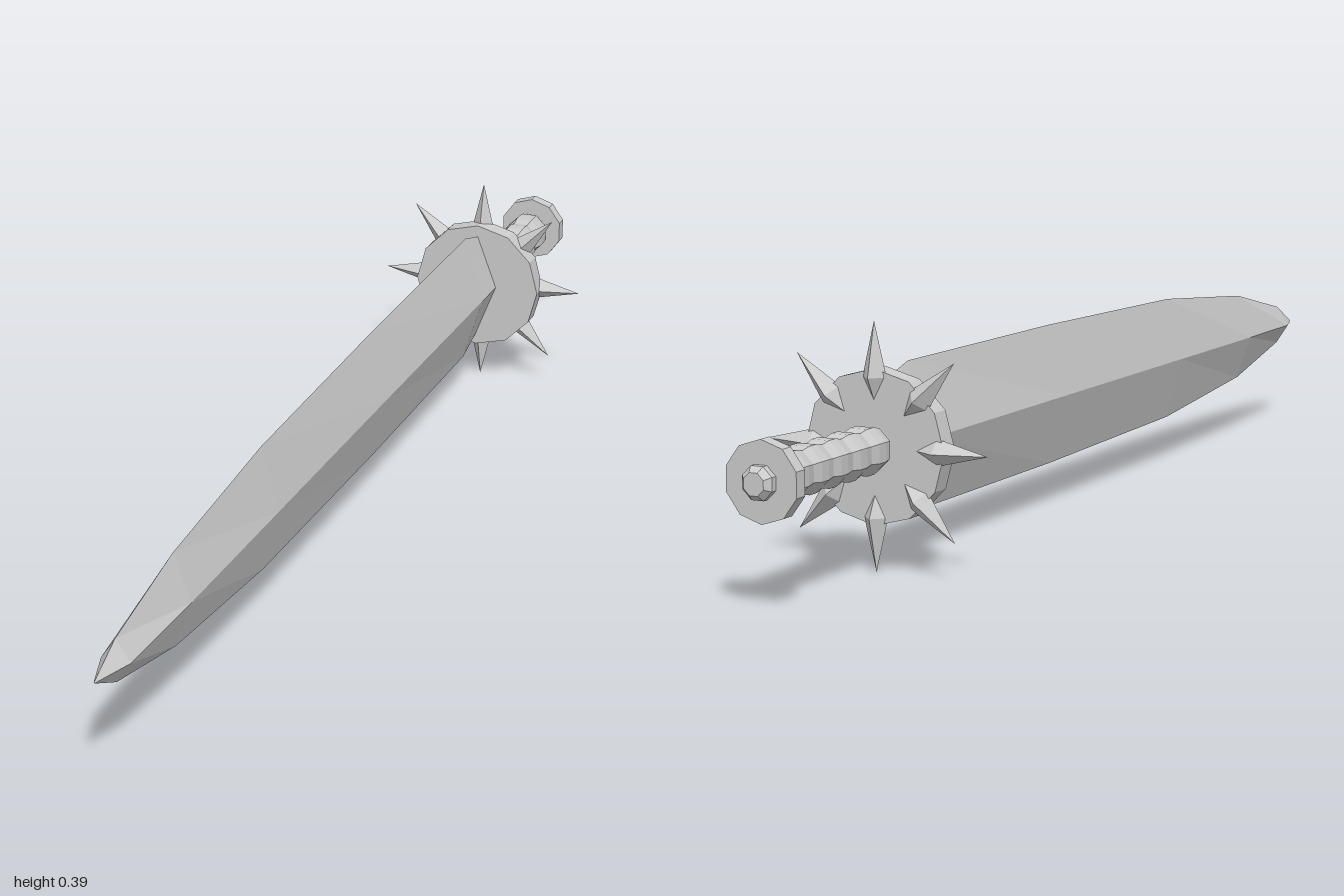
import * as THREE from 'three';

const AXIS_Y = 0.196; // height of the sword's long axis

export function createModel() {
  const sword = new THREE.Group();
  sword.name = 'spikedSword';
  const steel = new THREE.MeshStandardMaterial({ color: 0xcccccc });
  steel.name = 'steel';
  steel.flatShading = true;

  const add = (name, geometry) => {
    const mesh = new THREE.Mesh(geometry, steel);
    mesh.name = name;
    mesh.position.y = AXIS_Y;
    sword.add(mesh);
    return mesh;
  };

  // Faceted turned part along z; profile is [radius, z] from back to front
  const turned = (profile, sides, phase = 0) =>
    new THREE.LatheGeometry(profile.map(([r, z]) => new THREE.Vector2(r, z)), sides, phase)
      .rotateX(Math.PI / 2);

  // Blade: diamond sections [z, half height, half width] from tip to guard
  const sections = [
    [1, 0.001, 0.001], [0.93, 0.036, 0.024], [0.73, 0.08, 0.028], [0.4, 0.11, 0.03],
    [-0.08, 0.119, 0.033], [-0.56, 0.12, 0.037], [-0.635, 0.098, 0.038],
  ];
  const rings = sections.map(([z, h, w]) => [[w, 0, z], [0, h, z], [-w, 0, z], [0, -h, z]]);
  const corners = [];
  for (let i = 0; i < rings.length - 1; i++) {
    for (let k = 0; k < 4; k++) {
      const n = (k + 1) % 4;
      const a = rings[i][k], b = rings[i][n], c = rings[i + 1][k], d = rings[i + 1][n];
      corners.push(...a, ...c, ...b, ...b, ...c, ...d);
    }
  }
  const blade = new THREE.BufferGeometry();
  blade.setAttribute('position', new THREE.Float32BufferAttribute(corners, 3));
  blade.computeVertexNormals();
  add('blade', blade);

  // Round guard plate
  add('guard', turned([[0, -0.664], [0.121, -0.664], [0.121, -0.63], [0, -0.63]], 12));

  // Eight double-pointed spikes around the guard
  const spike = new THREE.LatheGeometry(
    [[0, 0.068], [0.021, 0.108], [0, 0.194]].map(([r, y]) => new THREE.Vector2(r, y)), 4);
  for (let i = 0; i < 8; i++) {
    const mesh = add('guardSpike', spike);
    mesh.position.z = -0.661;
    mesh.rotation.z = (i * Math.PI) / 4;
  }

  // Ridged eight-sided grip with a narrow neck at each end
  const grip = [[0.024, -0.96], [0.024, -0.947], [0.037, -0.945]];
  const ridges = 5, back = -0.945, step = 0.273 / ridges;
  for (let i = 0; i < ridges; i++) {
    const z = back + i * step;
    grip.push([0.039, z + step * 0.3], [0.039, z + step * 0.65], [0.035, z + step]);
  }
  grip.push([0.024, -0.671], [0.024, -0.66]);
  add('grip', turned(grip, 8, Math.PI / 8));

  // Pommel disc and its end button
  add('pommelDisc', turned([[0, -0.98], [0.062, -0.98], [0.062, -0.957], [0, -0.957]], 10));
  add('pommelButton', turned([[0, -1], [0.018, -1], [0.027, -0.99], [0.027, -0.978]], 8, Math.PI / 8));

  return sword;
}
